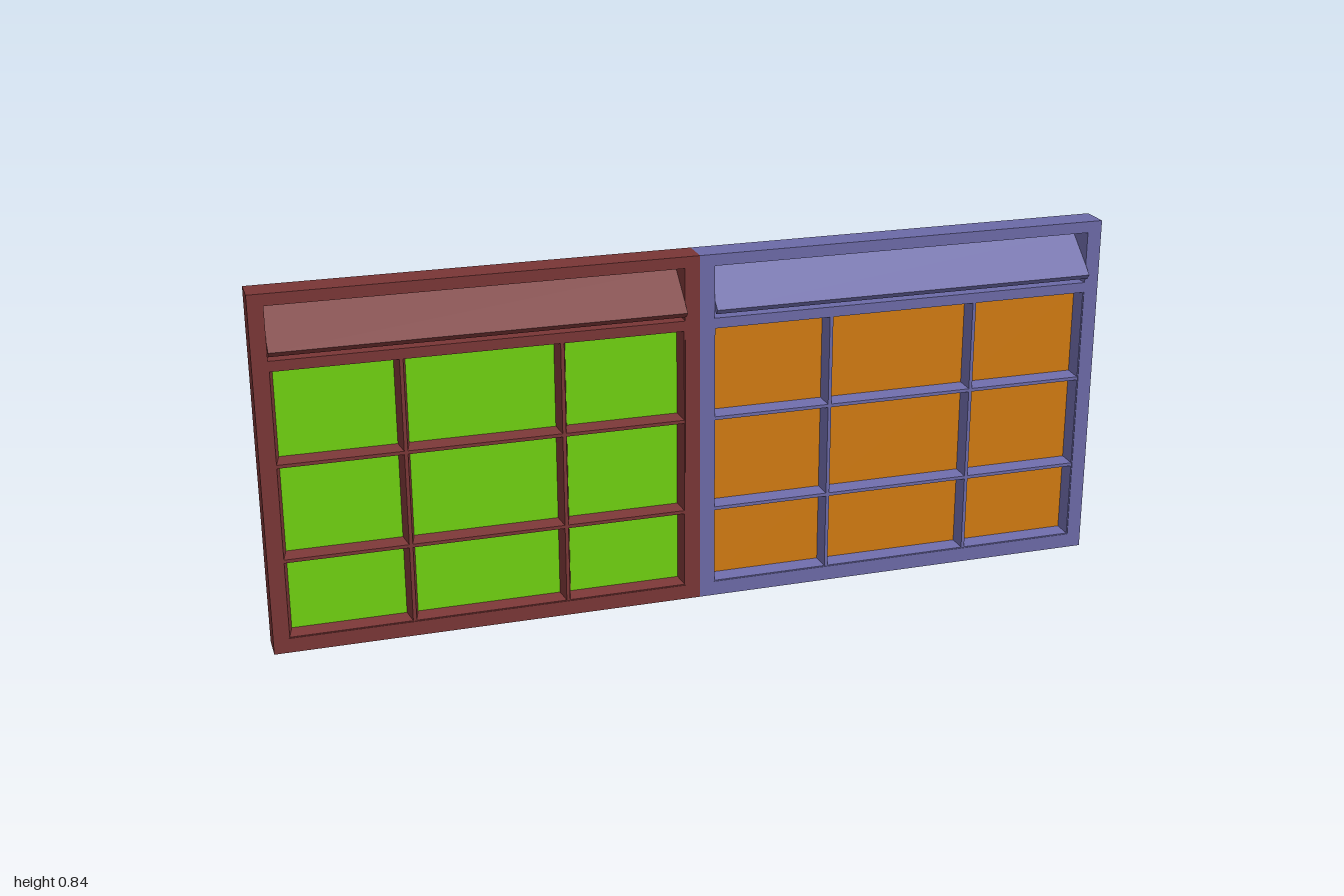
import * as THREE from 'three';

const HEIGHT = 0.84, DEPTH = 0.07, MID_Z = -0.005, BORDER = 0.035;

function addBox(parent, name, material, size, pos) {
  const mesh = new THREE.Mesh(new THREE.BoxGeometry(...size), material);
  mesh.name = name;
  mesh.position.set(...pos);
  parent.add(mesh);
  return mesh;
}

// Glazing bar: wide at the glass, tapering to a narrow edge on both faces
function addBar(parent, name, material, length, x, y, horizontal) {
  const wide = 0.014, tip = 0.004, half = 0.033;
  const profile = new THREE.Shape([
    [-tip, -half], [tip, -half], [wide, 0], [tip, half], [-tip, half], [-wide, 0],
  ].map(p => new THREE.Vector2(...p)));
  const geometry = new THREE.ExtrudeGeometry(profile, { depth: length, bevelEnabled: false });
  geometry.translate(0, 0, -length / 2);
  geometry.rotateX(Math.PI / 2);
  if (horizontal) geometry.rotateZ(Math.PI / 2);
  const mesh = new THREE.Mesh(geometry, material);
  mesh.name = name;
  mesh.position.set(x, y, MID_Z);
  parent.add(mesh);
}

// One window unit, one unit wide
function createWindow(name, centreX, frameColor, paneColor) {
  const group = new THREE.Group();
  group.name = name;
  group.position.x = centreX;
  const frame = new THREE.MeshStandardMaterial({ color: frameColor });
  const glass = new THREE.MeshStandardMaterial({ color: paneColor });

  // Outer frame with openings for the panes and the vent
  const outline = new THREE.Shape([
    [-0.5, 0], [0.5, 0], [0.5, HEIGHT], [-0.5, HEIGHT],
  ].map(p => new THREE.Vector2(...p)));
  const inner = 0.5 - BORDER;
  for (const [low, high] of [[BORDER, 0.667], [0.69, 0.813]]) {
    outline.holes.push(new THREE.Path([
      [-inner, low], [-inner, high], [inner, high], [inner, low],
    ].map(p => new THREE.Vector2(...p))));
  }
  const frameGeometry = new THREE.ExtrudeGeometry(outline, { depth: DEPTH, bevelEnabled: false });
  frameGeometry.translate(0, 0, MID_Z - DEPTH / 2);
  const frameMesh = new THREE.Mesh(frameGeometry, frame);
  frameMesh.name = 'frame';
  group.add(frameMesh);

  // Glass sheet
  addBox(group, 'pane', glass, [0.94, 0.64, 0.008], [0, 0.351, MID_Z]);

  // Glazing bars, with the outermost ones edging the opening
  for (const x of [-0.467, -0.18, 0.18, 0.467])
    addBar(group, 'verticalBar', frame, 0.64, x, 0.351, false);
  for (const y of [0.033, 0.222, 0.447, 0.669])
    addBar(group, 'horizontalBar', frame, 0.94, 0, y, true);

  // Tilted vent flap
  const flap = addBox(group, 'ventFlap', frame, [0.93, 0.122, 0.016], [0, 0.749, 0]);
  flap.rotation.x = -0.85;
  return group;
}

export function createModel() {
  const model = new THREE.Group();
  model.name = 'doubleWindow';
  model.add(createWindow('rightWindow', -0.5, 0x783535, 0x6fd00f));
  model.add(createWindow('leftWindow', 0.5, 0x6b69a6, 0xd07a10));
  return model;
}
